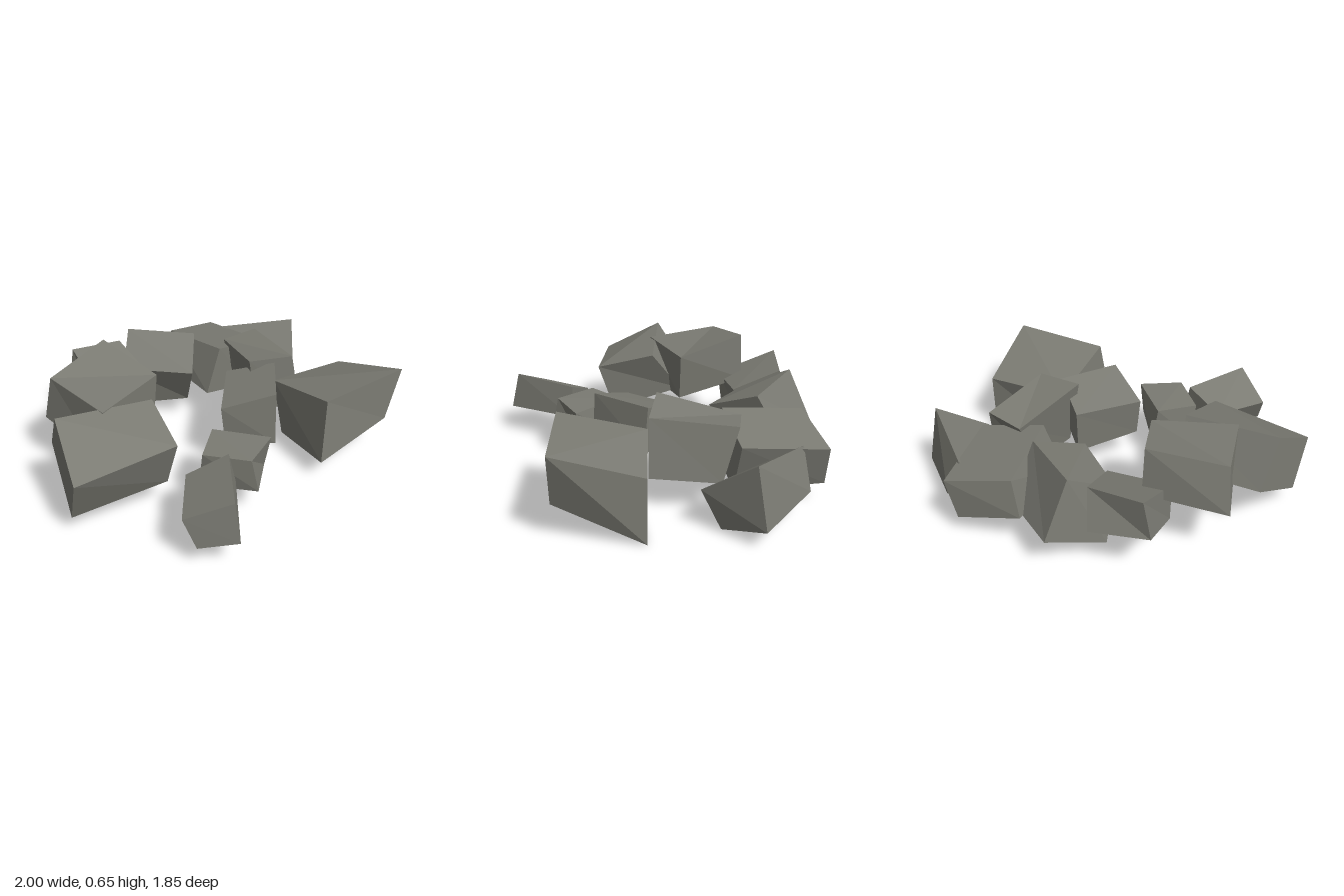
import * as THREE from 'three';

const stone = new THREE.MeshStandardMaterial({ color: 0x7b7b73 });
stone.name = 'grey stone';

// A rough block lofted between a lower and an upper four-cornered section.
// Corners run clockwise seen from above: back, right, front, left (or the diagonals).
function block(name, upper, lower) {
  const pos = [];
  const quad = (a, b, c, d) => pos.push(...a, ...b, ...c, ...a, ...c, ...d);
  quad(upper[0], upper[3], upper[2], upper[1]);
  quad(...lower);
  for (let i = 0; i < 4; i++) {
    const j = (i + 1) % 4;
    quad(lower[i], upper[i], upper[j], lower[j]);
  }
  const geo = new THREE.BufferGeometry();
  geo.setAttribute('position', new THREE.Float32BufferAttribute(pos, 3));
  geo.computeVertexNormals(); // unshared corners keep every face flat
  const mesh = new THREE.Mesh(geo, stone);
  mesh.name = name;
  return mesh;
}

export function createModel() {
  const group = new THREE.Group();
  group.name = 'stoneRing';

  group.add(
    // Large stones at the front and the model's right
    block('largeFrontStone',
      [[0.41, 0.39, 0.02], [0.92, 0.365, 0], [1, 0.51, 0.46], [0.43, 0.49, 0.5]],
      [[0.445, 0.04, 0.08], [0.92, 0, 0], [0.905, 0.21, 0.47], [0.39, 0.12, 0.54]]),
    block('rightStone',
      [[-0.945, 0.57, 0.015], [-0.4, 0.52, 0.03], [-0.43, 0.43, 0.37], [-1, 0.38, 0.36]],
      [[-0.925, 0.32, -0.15], [-0.48, 0.28, -0.14], [-0.45, 0.15, 0.28], [-0.99, 0.1, 0.24]]),
    block('tallRightStone',
      [[-0.825, 0.585, -0.355], [-0.435, 0.65, -0.51], [-0.28, 0.55, -0.145], [-0.7, 0.545, 0.055]],
      [[-0.865, 0.32, -0.4], [-0.43, 0.37, -0.525], [-0.31, 0.28, -0.14], [-0.72, 0.23, 0]]),

    // Stones along the back
    block('backRightStone',
      [[-0.55, 0.515, -0.73], [-0.24, 0.49, -0.735], [-0.19, 0.385, -0.46], [-0.53, 0.37, -0.38]],
      [[-0.59, 0.29, -0.72], [-0.28, 0.275, -0.81], [-0.22, 0.22, -0.5], [-0.54, 0.17, -0.41]]),
    block('backStone',
      [[-0.155, 0.53, -0.78], [0.2, 0.5, -0.565], [0.04, 0.38, -0.31], [-0.3, 0.39, -0.56]],
      [[-0.1, 0.21, -0.925], [0.24, 0.2, -0.74], [0.08, 0.12, -0.45], [-0.3, 0.085, -0.655]]),
    block('backLeftStone',
      [[0.165, 0.42, -0.815], [0.53, 0.345, -0.92], [0.63, 0.39, -0.46], [0.27, 0.46, -0.37]],
      [[0.11, 0.21, -0.84], [0.47, 0.12, -0.915], [0.54, 0.1, -0.43], [0.165, 0.185, -0.345]]),
    block('leftStone',
      [[0.54, 0.37, -0.78], [0.92, 0.44, -0.515], [0.76, 0.225, -0.255], [0.43, 0.17, -0.52]],
      [[0.62, 0.15, -0.82], [0.96, 0.105, -0.57], [0.79, 0.02, -0.36], [0.48, 0.035, -0.565]]),

    // Smaller stones closing the ring on the inside and front
    block('innerLeftStone',
      [[0.36, 0.46, -0.47], [0.58, 0.485, -0.45], [0.545, 0.51, 0.01], [0.26, 0.54, -0.02]],
      [[0.38, 0.125, -0.31], [0.63, 0.19, -0.37], [0.61, 0.2, 0.01], [0.33, 0.14, -0.03]]),
    block('innerStone',
      [[0.19, 0.43, -0.16], [0.41, 0.51, 0.02], [0.215, 0.51, 0.32], [-0.045, 0.415, 0.165]],
      [[0.2, 0.16, -0.14], [0.42, 0.26, 0.04], [0.21, 0.2, 0.34], [-0.02, 0.19, 0.17]]),
    block('smallFrontStone',
      [[-0.135, 0.345, 0.22], [0.105, 0.34, 0.445], [-0.11, 0.345, 0.58], [-0.3, 0.34, 0.395]],
      [[-0.11, 0.13, 0.2], [0.075, 0.16, 0.43], [-0.085, 0.16, 0.615], [-0.3, 0.12, 0.36]]),
    block('frontRightStone',
      [[-0.425, 0.29, 0.44], [-0.205, 0.38, 0.505], [-0.395, 0.39, 0.87], [-0.605, 0.275, 0.725]],
      [[-0.39, 0.095, 0.45], [-0.165, 0.2, 0.515], [-0.39, 0.175, 0.92], [-0.56, 0.12, 0.79]]),
  );
  return group;
}
